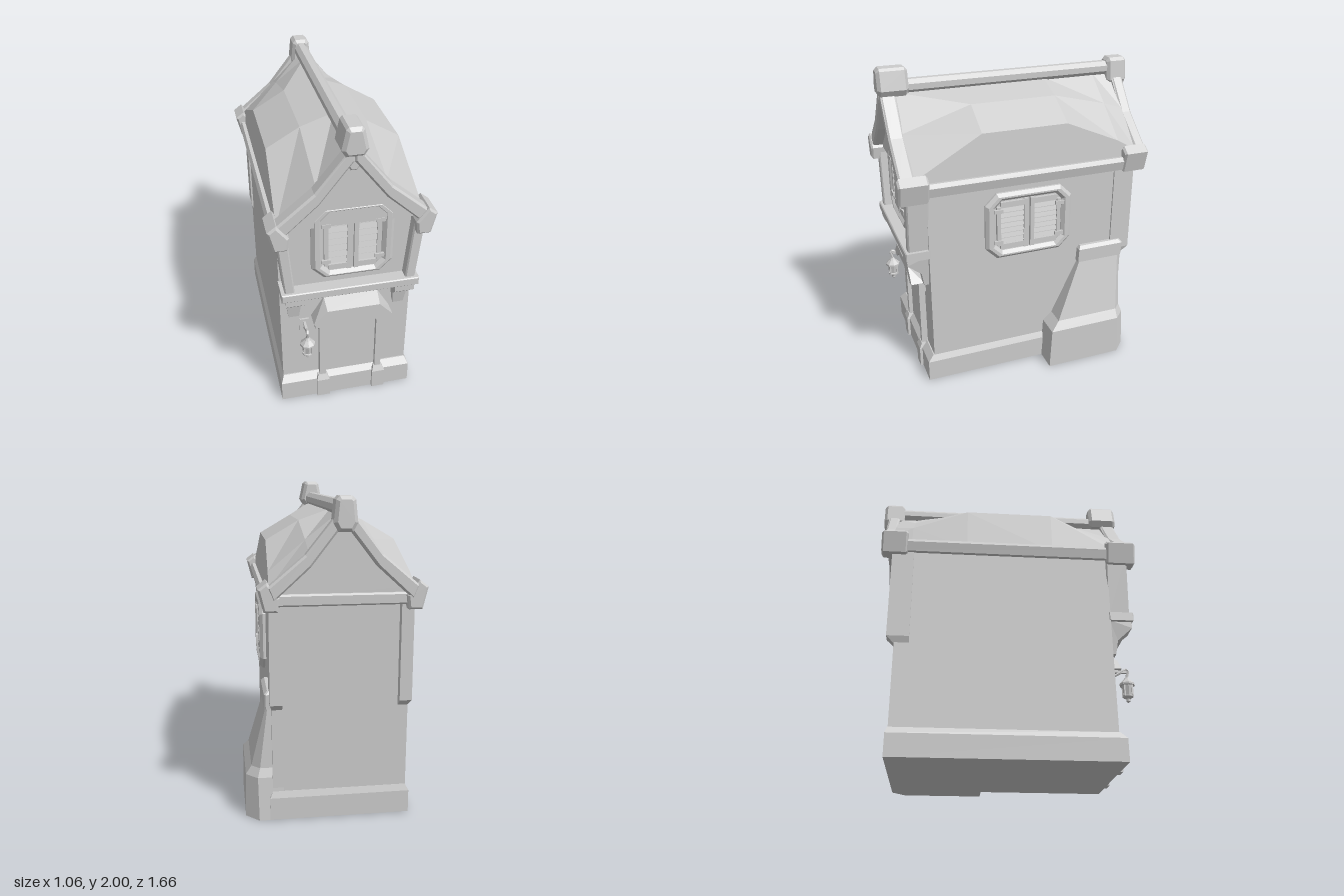
import * as THREE from 'three';

const stone = new THREE.MeshStandardMaterial({ color: 0xcccccc, flatShading: true });
stone.name = 'plain grey';
const CX = -0.045; // house axis

function add(parent, name, geo, x = 0, y = 0, z = 0) {
  const m = new THREE.Mesh(geo, stone);
  m.name = name;
  m.position.set(x, y, z);
  parent.add(m);
  return m;
}

// box given by its min / max corners
function block(parent, name, x0, x1, y0, y1, z0, z1) {
  return add(parent, name, new THREE.BoxGeometry(x1 - x0, y1 - y0, z1 - z0),
    (x0 + x1) / 2, (y0 + y1) / 2, (z0 + z1) / 2);
}

// outline in xy pushed from z0 to z1, with optional chamfer and hole
function prism(pts, z0, z1, bevel = 0, hole) {
  const s = new THREE.Shape(pts.map(p => new THREE.Vector2(...p)));
  if (hole) s.holes.push(new THREE.Path(hole.map(p => new THREE.Vector2(...p))));
  const g = new THREE.ExtrudeGeometry(s, {
    depth: z1 - z0 - 2 * bevel, bevelEnabled: bevel > 0, bevelSize: bevel,
    bevelThickness: bevel, bevelOffset: -bevel, bevelSegments: 1,
  });
  return g.translate(0, 0, z0 + bevel);
}

// skin over equal rings of [x, y, z], closed at both ends
function loft(rings) {
  const n = rings[0].length, idx = [];
  for (let i = 0; i < rings.length - 1; i++)
    for (let j = 0; j < n; j++) {
      const a = i * n + j, b = i * n + (j + 1) % n;
      idx.push(a, b, b + n, a, b + n, a + n);
    }
  const top = (rings.length - 1) * n;
  for (let j = 1; j < n - 1; j++) idx.push(0, j + 1, j, top, top + j, top + j + 1);
  const g = new THREE.BufferGeometry();
  g.setAttribute('position', new THREE.Float32BufferAttribute(rings.flat(2), 3));
  g.setIndex(idx);
  const flat = g.toNonIndexed();
  flat.computeVertexNormals();
  return flat;
}

const rect = (w, d, y, zc) => [[-w, y, zc + d], [w, y, zc + d], [w, y, zc - d], [-w, y, zc - d]];
const mirror = half => [...half, ...half.filter(p => p[0] !== 0).reverse().map(([x, y]) => [-x, y])];
const octagon = (w, h, c) => [[w, -h + c], [w, h - c], [w - c, h], [-w + c, h],
  [-w, h - c], [-w, -h + c], [-w + c, -h], [w - c, -h]];

// framed window with two louvred shutters, facing +z
function shutterWindow(name, w, h, iw, ih, slats) {
  const g = new THREE.Group();
  g.name = name;
  add(g, 'windowFrame', prism(octagon(w, h, 0.075), -0.02, 0.035, 0.02, octagon(iw, ih, 0.045)));
  add(g, 'windowBack', prism(octagon(iw + 0.01, ih + 0.01, 0.045), -0.02, 0.006));
  for (const s of [-1, 1]) {
    const mid = s * iw * 0.5, half = iw * 0.5 - 0.008, st = 0.026;
    for (const e of [-1, 1]) {
      const sx = mid + e * (half - st / 2);
      const sh = e === s ? ih - 0.04 : ih - 0.005;
      block(g, 'shutterStile', sx - st / 2, sx + st / 2, -sh, sh, 0, 0.026);
      const ry = e * (ih - 0.028);
      block(g, 'shutterRail', mid - half + st, mid + half - st, ry - 0.018, ry + 0.018, 0, 0.024);
      const hx = s * (iw - 0.018);
      block(g, 'hinge', hx - 0.028, hx + 0.028, e * ih * 0.62 - 0.012, e * ih * 0.62 + 0.012, 0.02, 0.036);
    }
    for (let i = 0; i < slats; i++) {
      const step = (2 * ih - 0.1) / slats;
      const slat = add(g, 'slat', new THREE.BoxGeometry(2 * half - 2 * st, step * 0.8, 0.008),
        mid, -ih + 0.05 + step * (i + 0.5), 0.014);
      slat.rotation.x = -0.3;
    }
  }
  return g;
}

export function createModel() {
  const model = new THREE.Group();
  model.name = 'house';
  const house = new THREE.Group();
  house.name = 'mainHouse';
  house.position.x = CX;
  model.add(house);

  // walls and plinth
  add(house, 'walls', prism(mirror([[0.41, 0.02], [0.415, 1.37], [0, 1.8]]), -0.675, 0.655));
  add(house, 'plinth', loft([rect(0.43, 0.695, 0, 0.005), rect(0.43, 0.695, 0.14, 0.005),
    rect(0.41, 0.67, 0.18, -0.008)]));
  add(house, 'upperFrontWall', prism(mirror([[0.375, 0.92], [0.415, 1.37], [0, 1.83]]), 0.6, 0.715));

  // sagging roof: straight at the gables, swollen between them
  const section = (z, t) => mirror([[0.43, 1.37], [0.425 - 0.02 * t, 1.41 + 0.25 * t],
    [0.2, 1.635 + 0.145 * t], [0, 1.85]]).map(([x, y]) => [x, y, z]);
  add(house, 'roof', loft([section(-0.73, 0.1), section(-0.6, 0.4), section(-0.25, 1),
    section(0.3, 1), section(0.75, 0)]));

  // ridge beam with end caps
  const ridge = add(house, 'ridgeBeam', new THREE.CylinderGeometry(0.047, 0.047, 1.5, 8), 0, 1.877, -0.01);
  ridge.rotation.set(Math.PI / 2, Math.PI / 8, 0, 'XYZ');
  add(house, 'frontRidgeCap', prism(mirror([[0.05, 1.83], [0.075, 1.87], [0.05, 1.985], [0.035, 2]]), 0.64, 0.83, 0.02));
  add(house, 'backRidgeCap', prism(mirror([[0.04, 1.75], [0.068, 1.8], [0.055, 1.925], [0.035, 1.945]]), -0.83, -0.69, 0.02));
  add(house, 'kingPeg', prism(mirror([[0.018, 1.74], [0.035, 1.77], [0.035, 1.84]]), 0.72, 0.8, 0.008));

  for (const s of [-1, 1]) {
    const side = pts => pts.map(([x, y]) => [s * x, y]);
    // rafters, flared near the eaves
    const rafter = side([[0, 1.9], [0.22, 1.625], [0.435, 1.445], [0.4, 1.365], [0.19, 1.555], [0, 1.8]]);
    add(house, 'frontRafter', prism(rafter, 0.72, 0.815, 0.012));
    add(house, 'backRafter', prism(rafter, -0.795, -0.72, 0.012));
    // eaves beam and its caps
    add(house, 'eavesBeam', prism(side([[0.4, 1.33], [0.45, 1.32], [0.465, 1.38], [0.45, 1.405], [0.4, 1.4]]), -0.76, 0.76));
    const cap = side([[0.375, 1.29], [0.455, 1.29], [0.487, 1.42], [0.435, 1.46], [0.365, 1.37]]);
    add(house, 'frontEavesCap', prism(cap, 0.645, 0.83, 0.012));
    add(house, 'backEavesCap', prism(cap, -0.79, -0.625, 0.012).translate(0, 0.015, 0));
    // leaning front posts and hanging back posts
    add(house, 'frontPost', prism(side([[0.335, 0.94], [0.395, 0.94], [0.435, 1.34], [0.37, 1.34]]), 0.645, 0.78, 0.008));
    const xo = s * 0.425, xi = s * 0.35, zs = [-0.585, -0.722];
    const ring = (y, x1, zb) => {
      const a = Math.min(x1, xi), b = Math.max(x1, xi);
      return [[a, y, zs[0]], [b, y, zs[0]], [b, y, zb], [a, y, zb]];
    };
    add(house, 'backPost', loft([ring(0.7, s * 0.412, -0.68), ring(0.74, xo, zs[1]), ring(1.36, xo, zs[1])]));
    // stepped bracket under the jetty
    const profile = [[0.65, 0.91], [0.65, 0.69], [0.685, 0.69], [0.7, 0.78], [0.79, 0.86], [0.79, 0.91]];
    const bracket = prism(profile.map(([z, y]) => [-z, y]), -0.06, 0.06);
    bracket.rotateY(Math.PI / 2);
    const p = bracket.attributes.position;
    for (let i = 0; i < p.count; i++) // narrower towards the foot
      p.setX(i, p.getX(i) * (p.getY(i) > 0.84 ? 1 : 0.72 - (0.78 - Math.min(p.getY(i), 0.78)) * 2));
    add(house, 'jettyBracket', bracket, s * 0.333);
  }
  add(house, 'backTieBeam', prism(mirror([[0.42, 1.33], [0.42, 1.4]]), -0.755, -0.66, 0.01));
  add(house, 'jettyBeam', prism(mirror([[0.418, 0.9], [0.418, 0.955]]), 0.645, 0.8, 0.006));

  // doorway
  const door = new THREE.Group();
  door.name = 'doorway';
  door.position.x = -0.015;
  model.add(door);
  const opening = mirror([[0.165, 0.14], [0.165, 0.57], [0.115, 0.638]]);
  add(door, 'doorPanel', prism(opening, 0.64, 0.668));
  add(door, 'doorFrame', prism([[0.165, 0.02], [0.205, 0.02], [0.205, 0.6], [0.135, 0.69], [-0.135, 0.69], [-0.205, 0.6],
    [-0.205, 0.02], [-0.165, 0.02], [-0.165, 0.57], [-0.115, 0.638], [0.115, 0.638], [0.165, 0.57]], 0.64, 0.695));
  for (const s of [-1, 1]) {
    const foot = w => (y, z) => [[s * 0.186 - w, y, 0.64], [s * 0.186 - w, y, z], [s * 0.186 + w, y, z], [s * 0.186 + w, y, 0.64]];
    add(door, 'jambFoot', loft([foot(0.042)(0, 0.718), foot(0.042)(0.135, 0.718), foot(0.03)(0.17, 0.7)]));
    block(door, 'hoodCorbel', s * 0.215 - 0.018, s * 0.215 + 0.018, 0.58, 0.67, 0.645, 0.7);
  }
  // sloping hood: low and forward at the outer lip
  const back = mirror([[0.2, 0.7], [0.175, 0.79]]), mid = mirror([[0.245, 0.655], [0.165, 0.74]]);
  const hood = [[[0.25, 0.655], [0.17, 0.79]], [[0.25, 0.655], [0.165, 0.745]]];
  const arch = (o, z) => [[o[0][0], o[0][1], z], [o[1][0], o[1][1], z], [-o[1][0], o[1][1], z], [-o[0][0], o[0][1], z],
    [-0.195, 0.64, z], [-0.13, 0.69, z], [0.13, 0.69, z], [0.195, 0.64, z]];
  const ends = [arch(hood[0], 0.64), arch(hood[0], 0.665), arch(hood[1], 0.75)];
  const skin = loft(ends).attributes.position.array.slice(0, 2 * 8 * 18);
  const skinGeo = new THREE.BufferGeometry();
  skinGeo.setAttribute('position', new THREE.BufferAttribute(skin, 3));
  skinGeo.computeVertexNormals();
  add(door, 'doorHood', skinGeo);
  add(door, 'hoodFace', prism(ends[2].map(([x, y]) => [x, y]), 0.735, 0.75));

  // windows
  const front = shutterWindow('frontWindow', 0.245, 0.245, 0.178, 0.2, 7);
  front.position.set(-0.028, 1.248, 0.718);
  const right = shutterWindow('sideWindow', 0.288, 0.222, 0.222, 0.172, 7);
  right.position.set(0.372, 1.052, 0.01);
  right.rotation.y = Math.PI / 2;
  model.add(front, right);

  // corner buttress
  const buttress = (y, x, zf, zb, c) => [[0.3, y, zf], [x, y, zf], [x, y, zb + c], [x - c, y, zb], [0.3, y, zb]];
  add(model, 'buttress', loft([buttress(0, 0.53, -0.1, -0.69, 0.08), buttress(0.27, 0.525, -0.115, -0.67, 0.07),
    buttress(0.325, 0.49, -0.175, -0.65, 0.05), buttress(0.71, 0.4, -0.355, -0.645, 0.01)]));
  add(model, 'buttressCap', loft([buttress(0.7, 0.41, -0.34, -0.66, 0.01), buttress(0.79, 0.41, -0.345, -0.665, 0.01),
    buttress(0.81, 0.39, -0.36, -0.65, 0.01)]));

  // wall lantern
  const lantern = new THREE.Group();
  lantern.name = 'lantern';
  lantern.position.set(-0.31, 0, 0.765);
  model.add(lantern);
  block(lantern, 'wallPlate', -0.03, 0.03, 0.55, 0.64, -0.12, -0.098);
  const path = [[0.57, -0.105], [0.6, -0.05], [0.63, 0.0], [0.625, 0.01], [0.575, 0]];
  const curve = new THREE.CatmullRomCurve3(path.map(([y, z]) => new THREE.Vector3(0, y, z)));
  add(lantern, 'lanternArm', new THREE.TubeGeometry(curve, 12, 0.009, 6));
  block(lantern, 'armBar', -0.008, 0.008, 0.605, 0.622, -0.1, 0.0);
  const cup = [[0, 0.41], [0.012, 0.42], [0.012, 0.435], [0.034, 0.448], [0.034, 0.458], [0.026, 0.46], [0.036, 0.52],
    [0.048, 0.522], [0.048, 0.534], [0.022, 0.56], [0.012, 0.575], [0, 0.58]];
  add(lantern, 'lanternBody', new THREE.LatheGeometry(cup.map(p => new THREE.Vector2(...p)), 8));
  for (let i = 0; i < 4; i++) {
    const a = Math.PI / 4 + i * Math.PI / 2;
    add(lantern, 'lanternBar', new THREE.BoxGeometry(0.009, 0.075, 0.009), Math.cos(a) * 0.034, 0.49, Math.sin(a) * 0.034);
  }
  return model;
}
